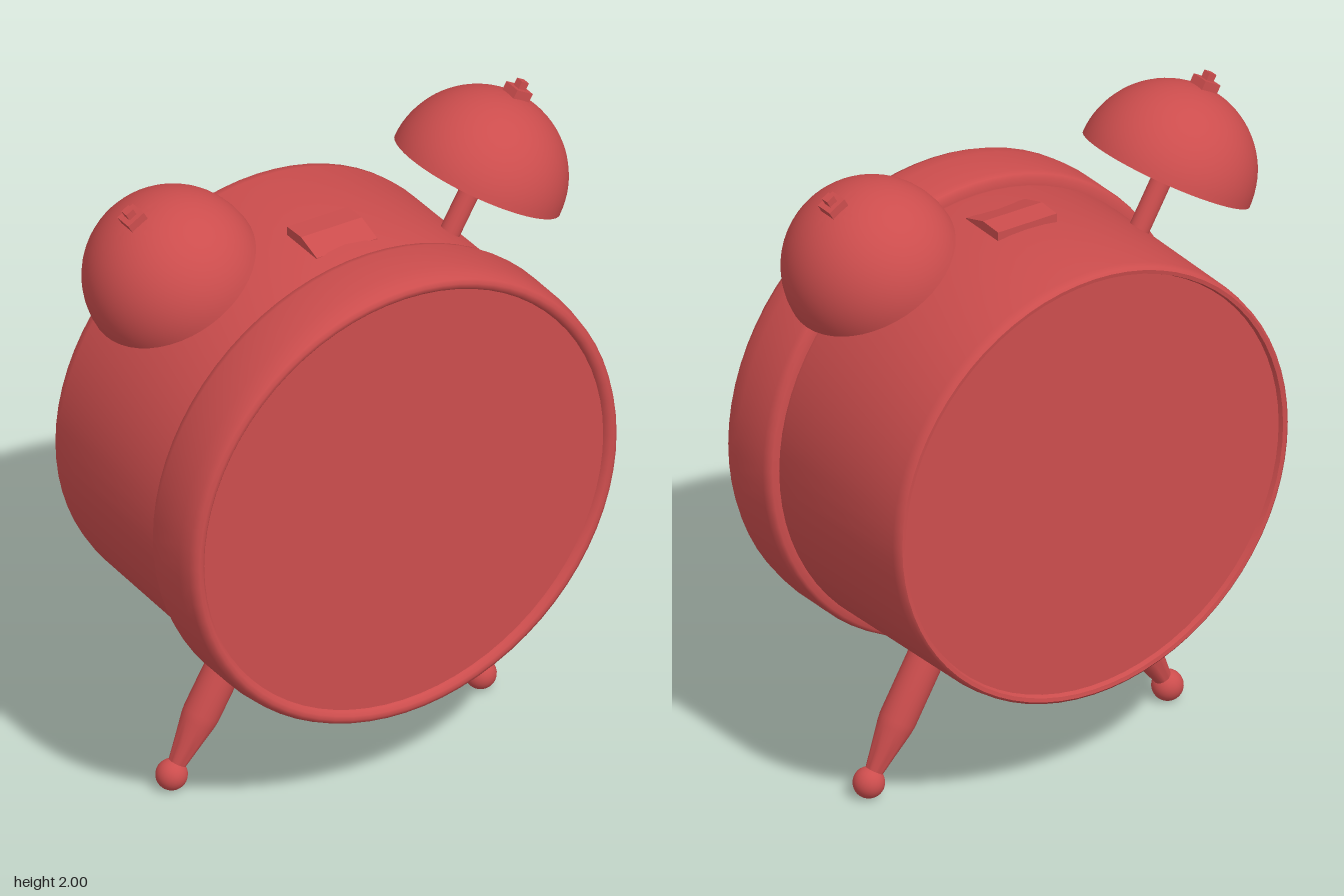
import * as THREE from 'three';
import { toCreasedNormals } from 'three/addons/utils/BufferGeometryUtils.js';

export function createModel() {
  const red = new THREE.MeshStandardMaterial({ color: 0xcc4d4d });
  red.name = 'red';
  const model = new THREE.Group();
  model.name = 'alarmClock';

  const add = (parent, name, geometry, x = 0, y = 0, z = 0) => {
    const mesh = new THREE.Mesh(geometry, red);
    mesh.name = name;
    mesh.position.set(x, y, z);
    parent.add(mesh);
    return mesh;
  };
  const lathe = (points, segments = 72) => toCreasedNormals(
    new THREE.LatheGeometry(points.map(([r, h]) => new THREE.Vector2(r, h)), segments), 0.7);

  // Round case on the z axis, with a thin lip around the back plate
  const clock = new THREE.Group();
  clock.name = 'case';
  clock.position.set(0.003, 1.02, 0);
  model.add(clock);
  add(clock, 'caseBody', lathe([
    [0, -0.395], [0.655, -0.395], [0.66, -0.41], [0.672, -0.412], [0.68, -0.405],
    [0.684, -0.38], [0.692, 0.17], [0.686, 0.19],
  ])).rotation.x = Math.PI / 2;

  // Front bezel and dial
  add(clock, 'bezel', lathe([
    [0.684, 0.182], [0.712, 0.182], [0.722, 0.19], [0.727, 0.21], [0.727, 0.34],
    [0.721, 0.385], [0.712, 0.404], [0.7, 0.41], [0.688, 0.408], [0.678, 0.398], [0.674, 0.385],
  ])).rotation.x = Math.PI / 2;
  add(clock, 'dial', new THREE.CircleGeometry(0.68, 72), 0, 0, 0.39);

  // Sloping button on top
  const wedge = new THREE.Shape([[0.075, 1.66], [0.075, 1.728], [0, 1.732], [-0.085, 1.706], [-0.085, 1.66]]
    .map(([a, b]) => new THREE.Vector2(a, b)).reverse());
  const button = new THREE.ExtrudeGeometry(wedge, { depth: 0.205, bevelEnabled: false });
  button.translate(0, 0, -0.1025).rotateY(Math.PI / 2);
  add(model, 'topButton', button, 0.003);

  // Hollow bell: inner dome, rim, outer dome
  const bellProfile = [];
  for (let i = 0; i <= 16; i++) {
    const a = (1 - i / 16) * Math.PI / 2;
    bellProfile.push([0.242 * Math.cos(a), 0.242 * Math.sin(a)]);
  }
  for (let i = 0; i <= 20; i++) {
    const a = (i / 20) * Math.PI / 2;
    bellProfile.push([0.263 * Math.cos(a), 0.263 * Math.sin(a)]);
  }
  const bellGeometry = lathe(bellProfile, 48);
  const stemGeometry = new THREE.CylinderGeometry(0.031, 0.031, 0.56, 20);
  const legGeometry = lathe([
    [0, 0.02], [0.024, 0.02], [0.038, 0.1], [0.052, 0.175], [0.055, 0.2],
    [0.055, 0.44], [0, 0.44],
  ], 24);

  for (const side of [-1, 1]) {
    const prefix = side > 0 ? 'left' : 'right';

    // Bell with stem and finial, tilted outward
    const bell = new THREE.Group();
    bell.name = prefix + 'BellGroup';
    bell.position.set(side * 0.514, 1.725, -0.029);
    bell.rotation.z = -side * Math.PI / 6;
    model.add(bell);
    add(bell, prefix + 'Bell', bellGeometry);
    add(bell, prefix + 'BellStem', stemGeometry, 0, -0.04, 0);
    add(bell, prefix + 'BellNut', new THREE.BoxGeometry(0.06, 0.05, 0.06), 0, 0.262, 0);
    add(bell, prefix + 'BellTip', new THREE.BoxGeometry(0.027, 0.04, 0.027), 0, 0.29, 0);

    // Tapered leg with ball foot
    const leg = new THREE.Group();
    leg.name = prefix + 'LegGroup';
    leg.position.set(side * 0.522, 0.048, -0.024);
    leg.rotation.z = side * Math.PI / 6;
    model.add(leg);
    add(leg, prefix + 'Leg', legGeometry);
    add(leg, prefix + 'Foot', new THREE.SphereGeometry(0.047, 24, 16));
  }
  return model;
}
